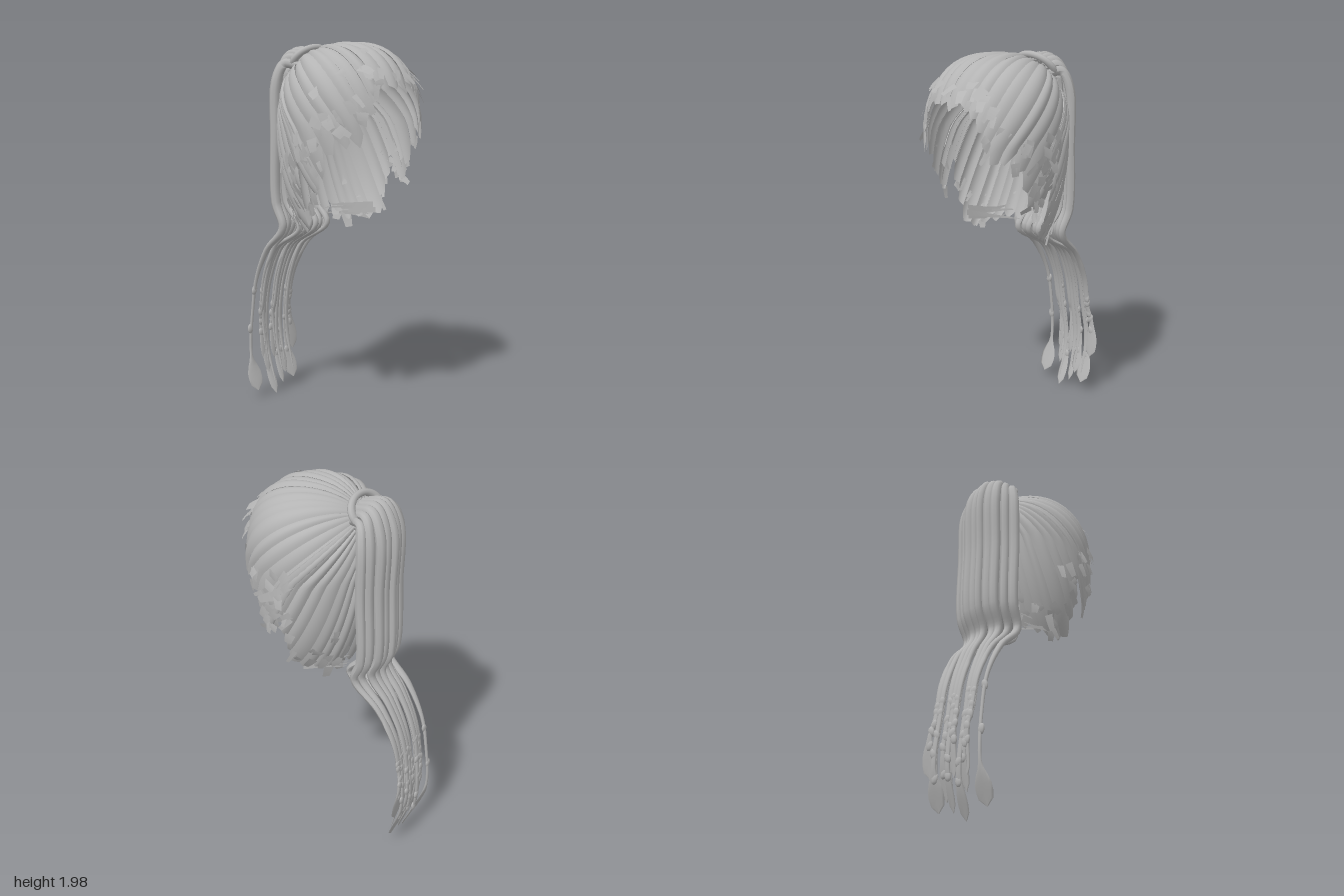
import * as THREE from 'three';
import { mergeGeometries } from 'three/addons/utils/BufferGeometryUtils.js';

const V = (x, y, z) => new THREE.Vector3(x, y, z);
const { lerp, smoothstep, degToRad } = THREE.MathUtils;
const CY = 1.575, CZ = 0.13, R = 0.352;

let seed = 7;
const rnd = () => (seed = (seed * 16807) % 2147483647) / 2147483647;
const jit = (a) => (rnd() * 2 - 1) * a;

// Smooth grid surface from a point function
function grid(nu, nv, fn) {
  const pos = [], idx = [];
  for (let i = 0; i <= nu; i++) for (let j = 0; j <= nv; j++) {
    const p = fn(i / nu, j / nv);
    pos.push(p.x, p.y, p.z);
  }
  for (let i = 0; i < nu; i++) for (let j = 0; j < nv; j++) {
    const a = i * (nv + 1) + j, b = a + nv + 1;
    idx.push(a, a + 1, b, b, a + 1, b + 1);
  }
  const g = new THREE.BufferGeometry();
  g.setAttribute('position', new THREE.Float32BufferAttribute(pos, 3));
  g.setIndex(idx);
  g.computeVertexNormals();
  return g;
}

// Scalp: rounded dome above, longer taper towards the nape
const shape = (y) => (y > 0 ? { ry: 0.396, p: 2.4 } : { ry: 0.72, p: 2 });
function onScalp(d, lift = 0) {
  const { ry, p } = shape(d.y);
  const h = Math.hypot(d.x, d.z);
  const s = Math.pow(Math.pow(h, p) + Math.pow(Math.abs(d.y), p), -1 / p);
  return V(d.x * s * R, CY + d.y * s * ry, CZ + d.z * s * R).addScaledVector(d, lift);
}
function scalpDir(deg, y) {
  const { ry, p } = shape(y - CY);
  const v = (y - CY) / ry, h = Math.pow(1 - Math.pow(Math.abs(v), p), 1 / p);
  return V(h * Math.sin(degToRad(deg)), v, h * Math.cos(degToRad(deg))).normalize();
}
function slerp(a, b, t) {
  const w = Math.max(a.angleTo(b), 1e-4);
  return a.clone().multiplyScalar(Math.sin((1 - t) * w) / Math.sin(w))
    .addScaledVector(b, Math.sin(t * w) / Math.sin(w)).normalize();
}

// Hairline: angle from the front, height; mirrored to the other side
const HALF = [[0, 1.755], [18, 1.75], [30, 1.66], [39, 1.52], [55, 1.48], [66, 1.4], [73, 1.23],
  [78, 1.42], [90, 1.46], [93, 1.28], [97, 1.07], [120, 1.05], [150, 1.08], [180, 1.1]];
const ends = [...HALF, ...HALF.slice(1, -1).reverse().map(([a, y]) => [-a, y])];
const hairline = new THREE.CatmullRomCurve3(ends.map(([a, y]) => scalpDir(a, y)), true);
const TIE = V(0, 0.67, -0.74).normalize();

// Combed strands running from the tie to the hairline
function capStrands() {
  const N = 46, list = [];
  for (let i = 0; i < N; i++) {
    const wide = 1.06 + jit(0.1), len = 1 + jit(0.02), high = 0.005 + rnd() * 0.008, base = jit(0.004);
    const slant = jit(0.06);
    list.push(grid(16, 6, (t, c) => {
      const u = (((i + 0.5 + (c - 0.5) * wide) / N) + 1) % 1;
      const end = hairline.getPointAt(u).normalize();
      const taper = 1 - Math.max(0, t - 0.85) * Math.abs(c - 0.5) * 0.5;
      const d = slerp(TIE, end, lerp(0.04, len + slant * (c - 0.5), t) * taper);
      return onScalp(d, base + high * Math.sin(Math.PI * c) * Math.min(1, t * 3));
    }));
  }
  return mergeGeometries(list);
}

// Loose cut ends: small thin plates lying on the hair
function flake(dir, along, w, l, tilt) {
  const side = V(0, 0, 0).crossVectors(along, dir).normalize();
  const root = onScalp(dir, 0.01);
  const skew = jit(0.4);
  return grid(2, 1, (t, c) => root.clone()
    .addScaledVector(along, t * l)
    .addScaledVector(side, (c - 0.5 + skew * t) * w * (1 - 0.35 * t))
    .addScaledVector(dir, t * l * tilt - t * t * 0.008));
}
function looseEnds() {
  const list = [];
  for (let i = 0; i < 140; i++) {
    const end = hairline.getPointAt(rnd()).normalize();
    const t = i < 120 ? 0.89 + jit(0.09) : 0.5 + rnd() * 0.4;
    const d = slerp(TIE, end, t);
    const along = onScalp(slerp(TIE, end, t + 0.03)).sub(onScalp(d)).normalize();
    along.applyAxisAngle(d, jit(0.6));
    list.push(flake(d, along, 0.025 + rnd() * 0.04, 0.03 + rnd() * 0.05, rnd() * 0.45));
  }
  return mergeGeometries(list);
}

// Flattened tube swept along a mostly vertical path
function sweep(curve, w, d) {
  return grid(60, 8, (t, c) => {
    const p = curve.getPoint(t), tan = curve.getTangent(t);
    const out = V(0, 0, 0).crossVectors(V(1, 0, 0), tan).normalize();
    const a = c * Math.PI * 2;
    return p.add(V(Math.cos(a) * w(t), 0, 0)).addScaledVector(out, Math.sin(a) * d(t));
  });
}

// Width profile by linear steps over the path
const steps = (v) => (t) => {
  const k = Math.min(t * (v.length - 1), v.length - 1.0001), i = Math.floor(k);
  return lerp(v[i], v[i + 1], k - i);
};

// Tails gather into four columns
const MID = [-0.15, -0.085, -0.075, -0.055, 0.005, 0.025, 0.05, 0.1, 0.125];
const TIPX = [-0.155, -0.07, -0.055, -0.03, 0.005, 0.035, 0.065, 0.12, 0.15];
const TIPY = [0.05, 0.2, 0.13, 0.005, 0.2, 0.05, 0.1, 0.06, 0.22];
const LOBE = [0.048, 0.02, 0.022, 0.028, 0.02, 0.02, 0.028, 0.046, 0.042];

// Each lock: over the tie, straight down, inward kink, long curved tail
function lockCurve(i, inner) {
  const s = (i - 4) / 4, f = 1 - s * s;
  const z = (inner ? -0.21 - 0.03 * f : -0.23 - 0.068 * f) + (i % 2) * 0.01;
  const x = (inner ? 0.14 : 0.165) * s, dz = inner ? 0.012 : 0;
  const drop = inner ? 0.06 : 0;
  const ty = TIPY[i] + (inner ? 0.06 : 0);
  return new THREE.CatmullRomCurve3([
    V(0.1 * s, 1.92 - 0.06 * s * s - drop, -0.13),
    V(0.135 * s, 1.93 - 0.06 * s * s - drop, (z - 0.17) / 2),
    V(x, 1.82 - 0.04 * s * s - drop, z),
    V(x * 1.04, 1.5, z - 0.004),
    V(x * 1.02, 1.15, z - 0.008),
    V(lerp(x, MID[i], 0.2), 1.02, z + (inner ? 0.085 : 0.035)),
    V(lerp(x, MID[i], 0.6), 0.88, lerp(z, -0.34, 0.75) - 0.015),
    V(lerp(x, MID[i], 0.9), 0.7, -0.425 + dz),
    V(MID[i], 0.52, -0.462 + dz),
    V(lerp(MID[i], TIPX[i], 0.8), ty + 0.2, -0.478 + dz),
    V(TIPX[i], ty, lerp(-0.405, -0.46, Math.min(1, ty * 5)) + dz),
  ]);
}

// Thin tail that opens into a rounded paddle over the last tenth
function lockWidth(thin, lobe, k) {
  const body = steps([0.018, 0.026, 0.029, 0.029, 0.027, 0.022, 0.019, thin * 1.2, thin, thin, thin]);
  return (t) => {
    if (t < 0.9) return body(t) * (t < 0.65 ? k : 1);
    const e = (t - 0.9) / 0.1;
    return lerp(thin, lobe, smoothstep(e, 0, 0.55)) * Math.sqrt(Math.max(0.002, 1 - Math.max(0, (e - 0.65) / 0.35) ** 2));
  };
}

function ponytail() {
  const list = [];
  for (let i = 0; i < 9; i++) list.push(sweep(lockCurve(i, false),
    lockWidth(i === 0 ? 0.009 : 0.015, LOBE[i], 0.88 + jit(0.14)),
    steps([0.02, 0.026, 0.028, 0.026, 0.025, 0.021, 0.015, 0.01, 0.008, 0.007, 0.003])));
  for (let i = 1; i < 8; i++) list.push(sweep(lockCurve(i, true),
    steps([0.02, 0.026, 0.026, 0.024, 0.022, 0.017, 0.013, 0.012, 0.012, 0.013, 0.003]),
    steps([0.02, 0.026, 0.024, 0.022, 0.02, 0.014, 0.01, 0.007, 0.006, 0.006, 0.002])));
  return mergeGeometries(list);
}

// Small kinks and knots along the thin tails
function knots() {
  const list = [];
  for (let i = 0; i < 9; i++) {
    const curve = lockCurve(i, false);
    const ts = i === 0 ? [0.74, 0.845] : [0.76, 0.8, 0.84, 0.88, 0.92];
    for (const t of ts) {
      const p = curve.getPoint(t + (i && jit(0.015)));
      const g = new THREE.SphereGeometry(1, 8, 6);
      g.scale(0.019, 0.028, 0.01).rotateZ(jit(0.4)).translate(p.x + jit(0.006), p.y, p.z);
      list.push(g);
    }
  }
  return mergeGeometries(list);
}

// Wisps crossing at the bottom of the nape
function napeWisps() {
  const list = [];
  for (let i = 0; i < 12; i++) {
    const s = i % 2 ? 1 : -1, y = 1.07 + rnd() * 0.06, x0 = 0.06 + rnd() * 0.1;
    const c = new THREE.QuadraticBezierCurve3(V(s * 0.25, y + jit(0.04), 0.06 + jit(0.05)),
      V(s * 0.2, y - 0.01, -0.06), V(s * x0, y + jit(0.02), -0.13));
    list.push(grid(6, 1, (t, k) => c.getPoint(t).add(V(0, (k - 0.5) * 0.028 * (1.1 - t), 0))));
  }
  return mergeGeometries(list);
}

export function createModel() {
  const hair = new THREE.MeshStandardMaterial({ color: 0xb4b4b4, side: THREE.DoubleSide });
  hair.name = 'hair grey';
  const group = new THREE.Group();
  group.name = 'ponytailHair';
  const add = (name, geo) => {
    const m = new THREE.Mesh(geo, hair);
    m.name = name;
    group.add(m);
    return m;
  };
  add('capStrands', capStrands());
  add('looseEnds', looseEnds());
  add('ponytail', ponytail());
  add('tailKnots', knots());
  add('napeWisps', napeWisps());
  // Band wrapped around the root of the ponytail
  const band = add('hairTie', new THREE.TorusGeometry(0.083, 0.017, 10, 40));
  band.scale.set(1.35, 1, 1);
  band.rotation.x = 0.62;
  band.position.set(0, 1.885, -0.155);
  return group;
}
